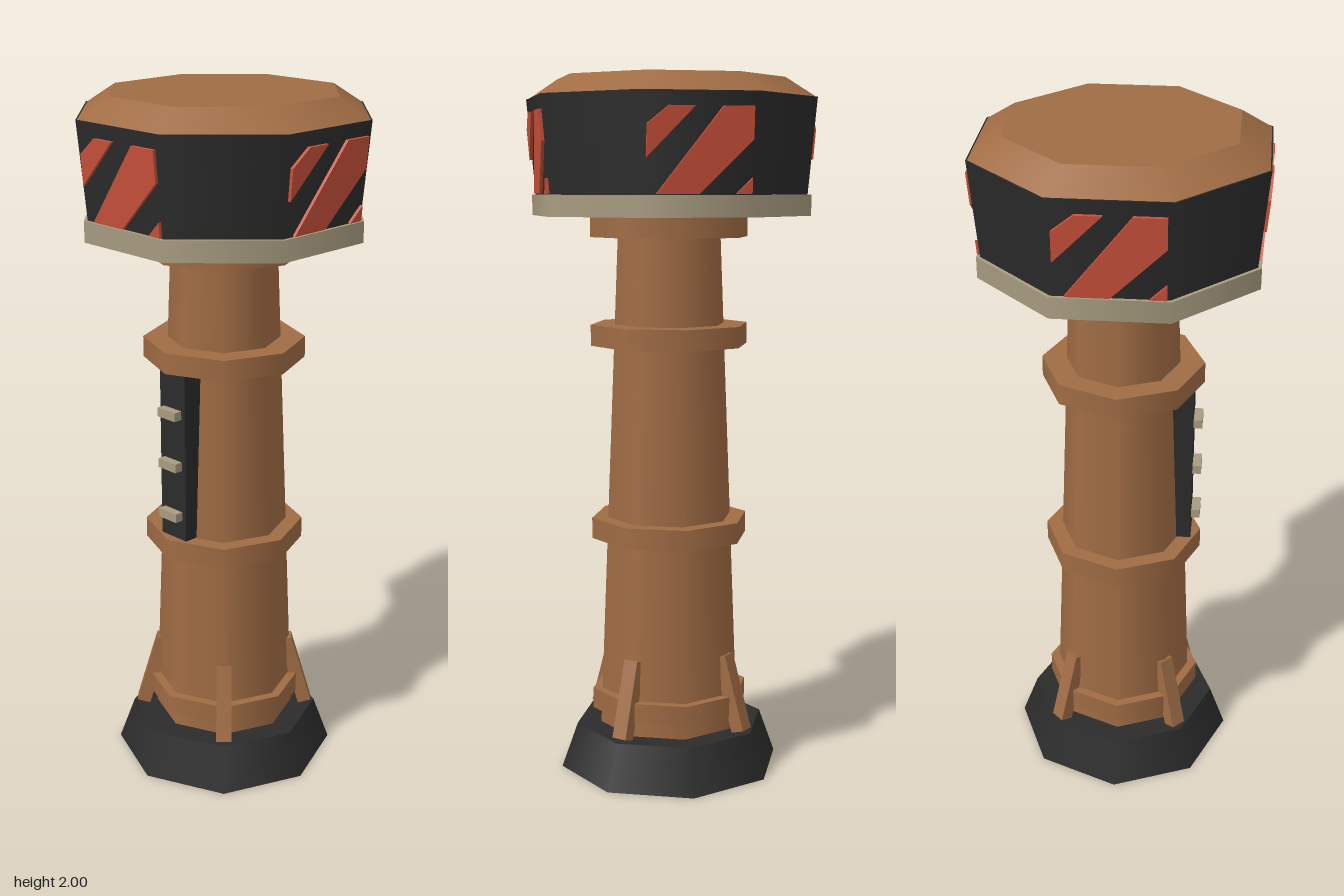
import * as THREE from 'three';

const material = (name, color) => {
  const m = new THREE.MeshStandardMaterial({ color });
  m.name = name;
  return m;
};

export function createModel() {
  const brown = material('rustBrown', 0xa06c44);
  const dark = material('charcoal', 0x2b2b2b);
  const beige = material('paleMetal', 0xa89c80);
  const red = material('warningRed', 0xc8503a);

  const model = new THREE.Group();
  model.name = 'tower';
  const COS = Math.cos(Math.PI / 8);

  const add = (name, geometry, mat, parent = model) => {
    const mesh = new THREE.Mesh(geometry, mat);
    mesh.name = name;
    parent.add(mesh);
    return mesh;
  };
  // Eight-sided drum between two heights, corners on the axes
  const drum = (name, y0, y1, r0, r1, mat) => {
    const mesh = add(name, new THREE.CylinderGeometry(r1, r0, y1 - y0, 8), mat);
    mesh.position.y = (y0 + y1) / 2;
    return mesh;
  };
  // Same drum with its flats on the axes, sized by half width
  const flatDrum = (name, y0, y1, a0, a1, mat) => {
    drum(name, y0, y1, a0 / COS, a1 / COS, mat).rotation.y = Math.PI / 8;
  };

  // Foot, shaft and collars
  drum('foot', 0, 0.13, 0.325, 0.278, dark);
  drum('shaft', 0.13, 1.62, 0.207, 0.148, brown);
  for (const y of [0.175, 0.688, 1.25, 1.558]) drum('collar', y, y + 0.06, 0.23, 0.23, brown);

  // Head
  flatDrum('headLip', 1.618, 1.677, 0.373, 0.373, beige);
  flatDrum('headWall', 1.677, 1.945, 0.363, 0.386, dark);
  flatDrum('roof', 1.945, 2, 0.382, 0.302, brown);

  // Leaning braces on the diagonals
  for (let i = 0; i < 4; i++) {
    const arm = new THREE.Group();
    arm.name = 'brace';
    arm.rotation.y = Math.PI / 4 + i * Math.PI / 2;
    const fin = add('braceFin', new THREE.BoxGeometry(0.045, 0.225, 0.04), brown, arm);
    fin.position.set(0, 0.243, 0.217);
    fin.rotation.x = -0.28;
    model.add(arm);
  }

  // Ladder panel with three rungs on the front
  add('ladderPanel', new THREE.BoxGeometry(0.1, 0.5, 0.08), dark).position.set(0, 1, 0.163);
  for (const y of [0.824, 0.977, 1.13]) {
    add('rung', new THREE.BoxGeometry(0.07, 0.026, 0.04), beige).position.set(0, y, 0.208);
  }

  // Hazard stripes, x across the face and y above the head's lower edge
  const stripes = [
    [[-0.143, 0.183], [-0.143, 0.098], [-0.015, 0.23], [-0.085, 0.23]],
    [[-0.115, 0.003], [0, 0.003], [0.143, 0.145], [0.143, 0.23], [0.06, 0.23]],
    [[0.1, 0.003], [0.143, 0.003], [0.143, 0.045]],
  ].map((points) => new THREE.ExtrudeGeometry(
    new THREE.Shape(points.map(([x, y]) => new THREE.Vector2(x, y))),
    { depth: 0.009, bevelEnabled: false },
  ));
  for (let i = 0; i < 4; i++) {
    const side = new THREE.Group();
    side.name = 'hazardSide';
    side.rotation.y = i * Math.PI / 2;
    const panel = new THREE.Group();
    panel.name = 'hazardStripes';
    panel.position.set(0, 1.677, 0.363);
    panel.rotation.x = Math.atan2(0.023, 0.268);
    stripes.forEach((geometry) => add('stripe', geometry, red, panel));
    side.add(panel);
    model.add(side);
  }
  return model;
}
